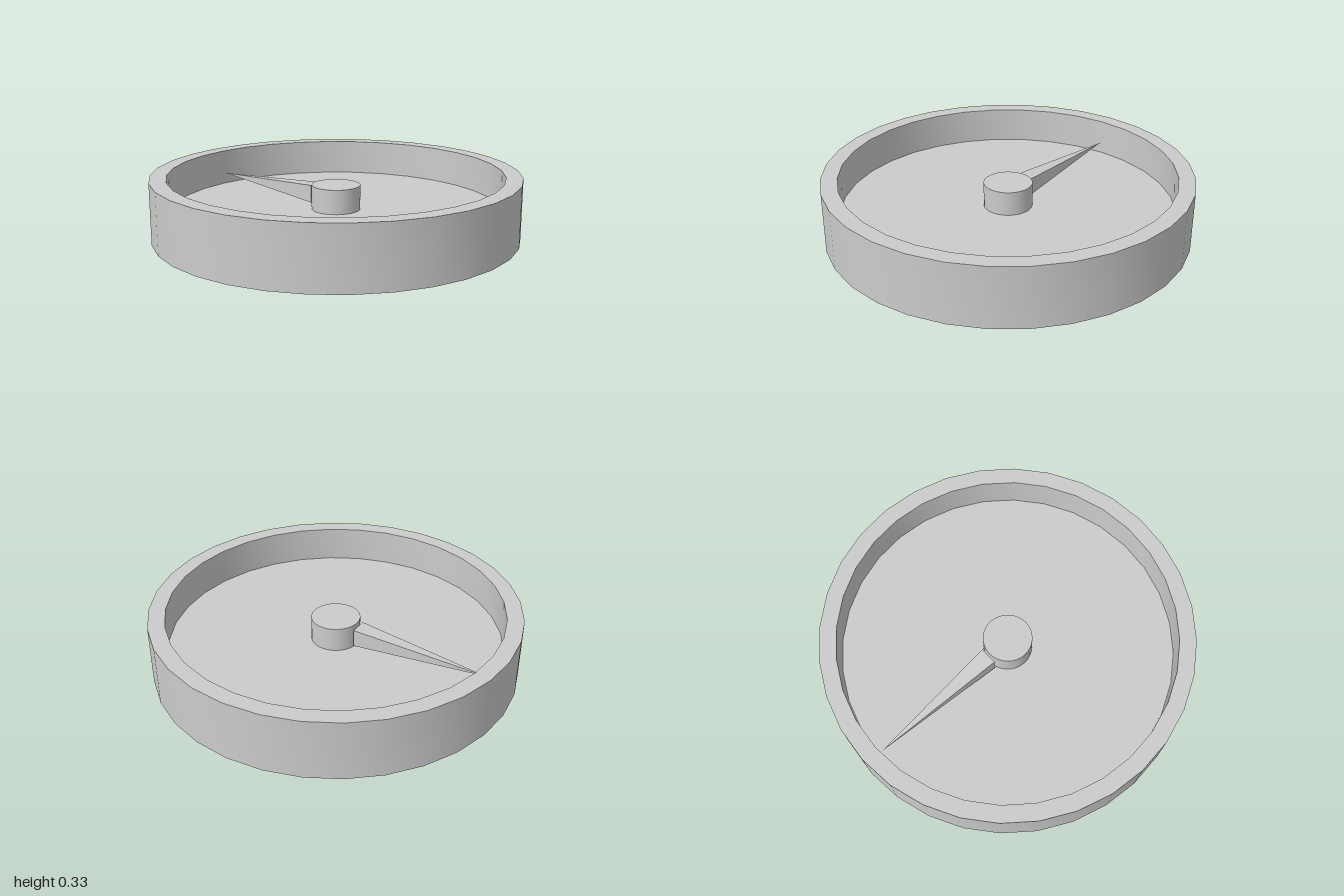
import * as THREE from 'three';
import { toCreasedNormals } from 'three/addons/utils/BufferGeometryUtils.js';

const SEGMENTS = 32;
const RIM_Y = 0.333, FLOOR_Y = 0.133, HUB_Y = 0.267;
const HUB_R = 0.133;

export function createModel() {
  const group = new THREE.Group();
  const grey = new THREE.MeshStandardMaterial({ color: 0xcccccc });
  const needleGrey = new THREE.MeshStandardMaterial({ color: 0xcccccc, flatShading: true });

  const add = (name, geometry, material = grey) => {
    const mesh = new THREE.Mesh(geometry, material);
    mesh.name = name;
    group.add(mesh);
    return mesh;
  };

  // Round case: flat base, outer wall, rim, inner wall and recessed dial floor
  const profile = [
    [0, 0], [1, 0], [1, RIM_Y], [0.91, RIM_Y], [0.91, FLOOR_Y], [0, FLOOR_Y],
  ].map(([r, y]) => new THREE.Vector2(r, y));
  add('case', toCreasedNormals(new THREE.LatheGeometry(profile, SEGMENTS), 0.6));

  // Central hub standing on the dial floor
  const hub = add('hub', new THREE.CylinderGeometry(HUB_R, HUB_R, HUB_Y - FLOOR_Y, SEGMENTS));
  hub.position.y = (HUB_Y + FLOOR_Y) / 2;

  // Needle: slim square pyramid pointing to the back
  const length = 0.75;
  const needle = new THREE.ConeGeometry(0.069, length, 4);
  needle.rotateY(Math.PI / 4);
  needle.rotateX(-Math.PI / 2);
  add('needle', needle, needleGrey).position.set(0, 0.2, -0.14 - length / 2);

  return group;
}
